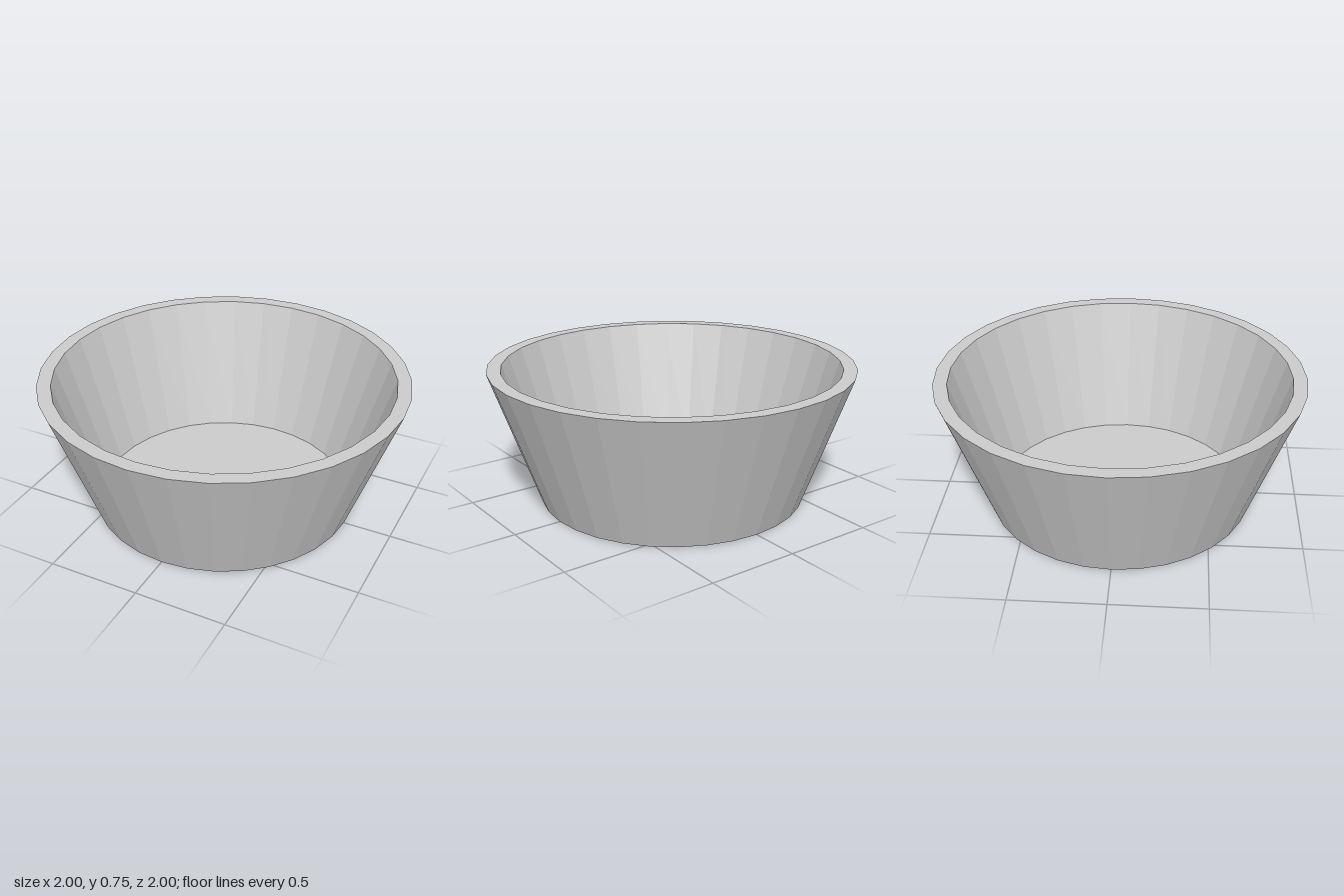
import * as THREE from 'three';

const SIDES = 32;
const HEIGHT = 0.75;
const FLOOR = 0.005; // very thin base

export function createModel() {
  const group = new THREE.Group();
  group.name = 'bowl';

  // Closed section: underside, outer wall, flat rim, inner wall, floor
  const profile = [
    [0, 0],
    [0.735, 0],
    [1, HEIGHT],
    [0.925, HEIGHT],
    [0.7, FLOOR],
    [0, FLOOR],
  ].map(([r, y]) => new THREE.Vector2(r, y));

  const body = new THREE.Mesh(
    new THREE.LatheGeometry(profile, SIDES),
    new THREE.MeshStandardMaterial({ color: 0xcccccc, flatShading: true })
  );
  body.name = 'bowlBody';
  group.add(body);

  return group;
}
